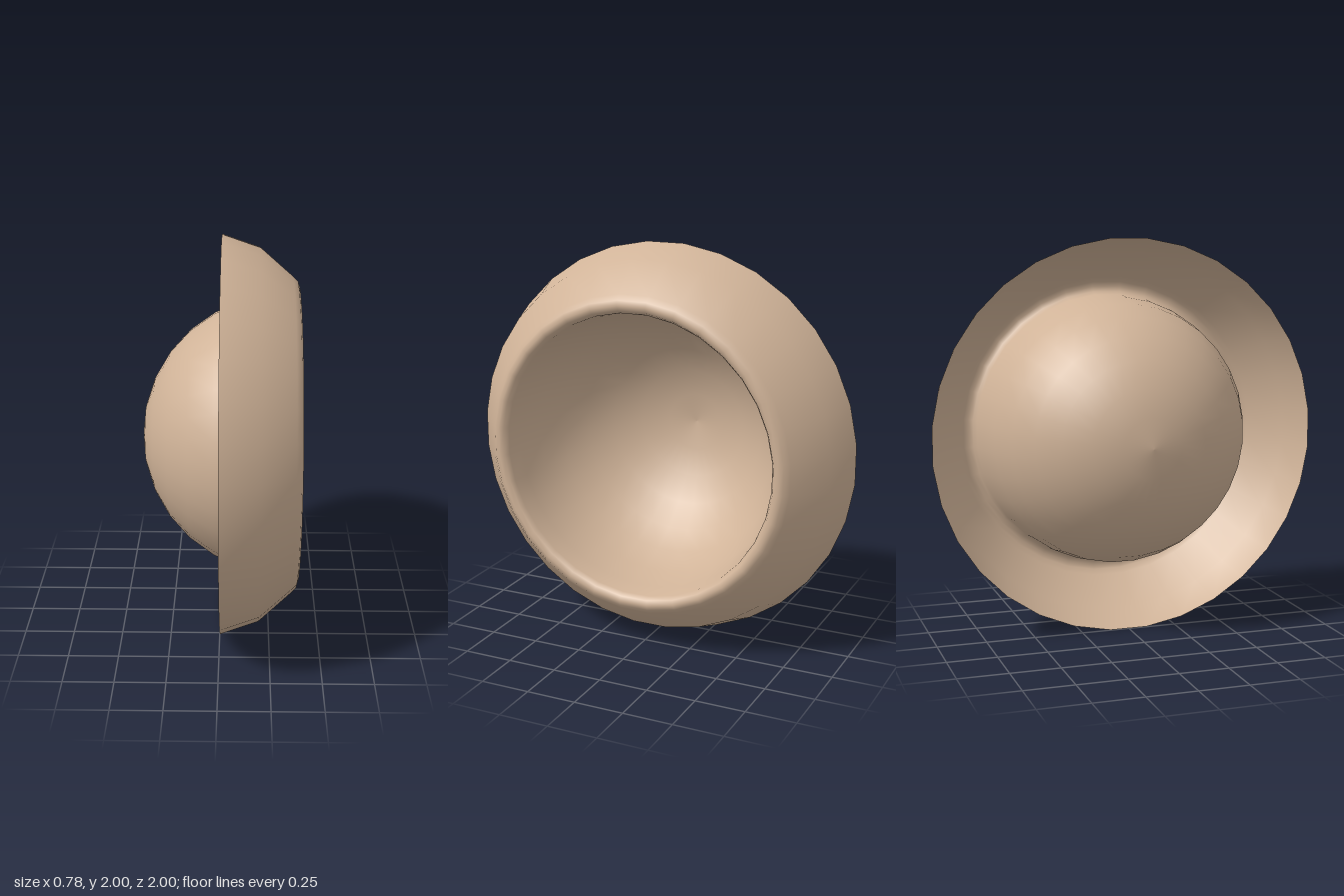
import * as THREE from 'three';

export function createModel() {
  const group = new THREE.Group();
  group.name = 'flangedBowl';

  const tan = new THREE.MeshStandardMaterial({ color: 0xd0b398, side: THREE.DoubleSide });
  tan.name = 'tan';

  // Profile as (radius, distance along the axis): outer skirt and rolled lip
  const profile = [
    [1.005, 0.005], [0.94, 0.195], [0.80, 0.355], [0.775, 0.38],
    [0.75, 0.388], [0.725, 0.38], [0.71, 0.355],
  ].map(([r, a]) => new THREE.Vector2(r, a));

  // Spherical bowl, from the lip down to its pole
  const R = 0.702, centre = 0.312, steps = 7;
  for (let i = steps; i >= 0; i--) {
    const t = THREE.MathUtils.degToRad(i * 12.2);
    profile.push(new THREE.Vector2(i ? R * Math.sin(t) : 0, centre - R * Math.cos(t)));
  }

  // One thin shell turned round the x axis
  const sides = 32;
  const shell = new THREE.LatheGeometry(profile, sides, Math.PI / sides);
  shell.rotateZ(-Math.PI / 2);
  shell.translate(0, 1, 0);

  const mesh = new THREE.Mesh(shell, tan);
  mesh.name = 'bowlAndRim';
  group.add(mesh);
  return group;
}
